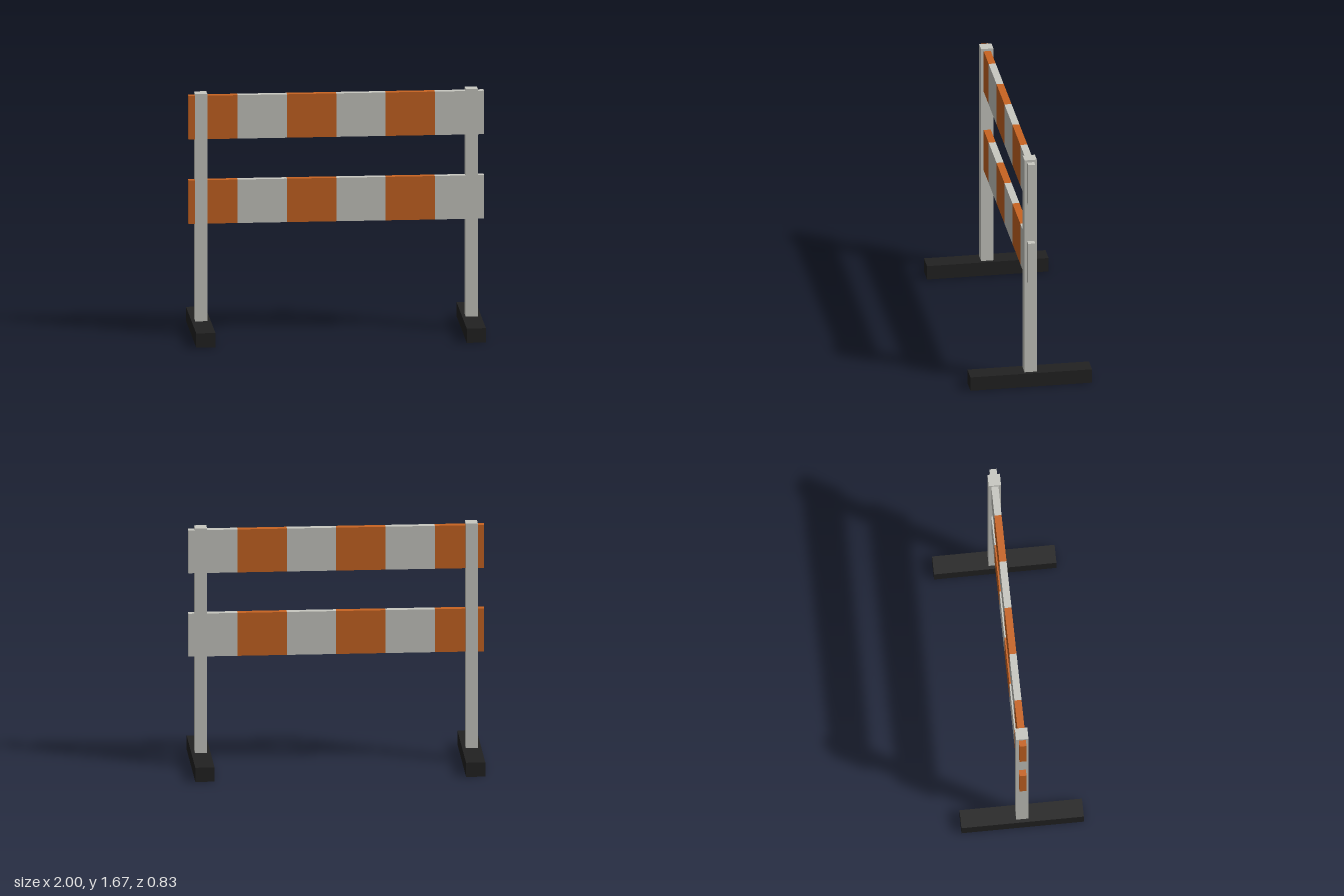
import * as THREE from 'three';

const material = (name, color) => {
  const m = new THREE.MeshStandardMaterial({ color });
  m.name = name;
  return m;
};

export function createModel() {
  const orange = material('orange', 0xc86422);
  const white = material('offWhite', 0xc8c8c1);
  const black = material('blackRubber', 0x222222);

  const model = new THREE.Group();
  model.name = 'barricade';

  // Box spanning y0..y1, centred on x and z = 0
  const addBox = (parent, name, mat, x, width, y0, y1, depth) => {
    const mesh = new THREE.Mesh(new THREE.BoxGeometry(width, y1 - y0, depth), mat);
    mesh.name = name;
    mesh.position.set(x, (y0 + y1) / 2, 0);
    parent.add(mesh);
  };

  // Posts on long feet; each post runs through its foot and shows underneath
  for (const [side, s] of [['left', 1], ['right', -1]]) {
    addBox(model, side + 'Post', white, s * 0.915, 0.082, 0, 1.67, 0.084);
    addBox(model, side + 'Foot', black, s * 0.915, 0.13, 0.001, 0.1, 0.83);
  }

  // Two boards, each of six alternating stripes
  const stripes = 6;
  const width = 2 / stripes;
  for (const [name, y0, y1] of [['lowerBoard', 0.77, 1.07], ['upperBoard', 1.353, 1.653]]) {
    const board = new THREE.Group();
    board.name = name;
    for (let i = 0; i < stripes; i++) {
      addBox(board, 'stripe' + (i + 1), i % 2 ? white : orange, -1 + (i + 0.5) * width, width, y0, y1, 0.048);
    }
    model.add(board);
  }
  return model;
}
